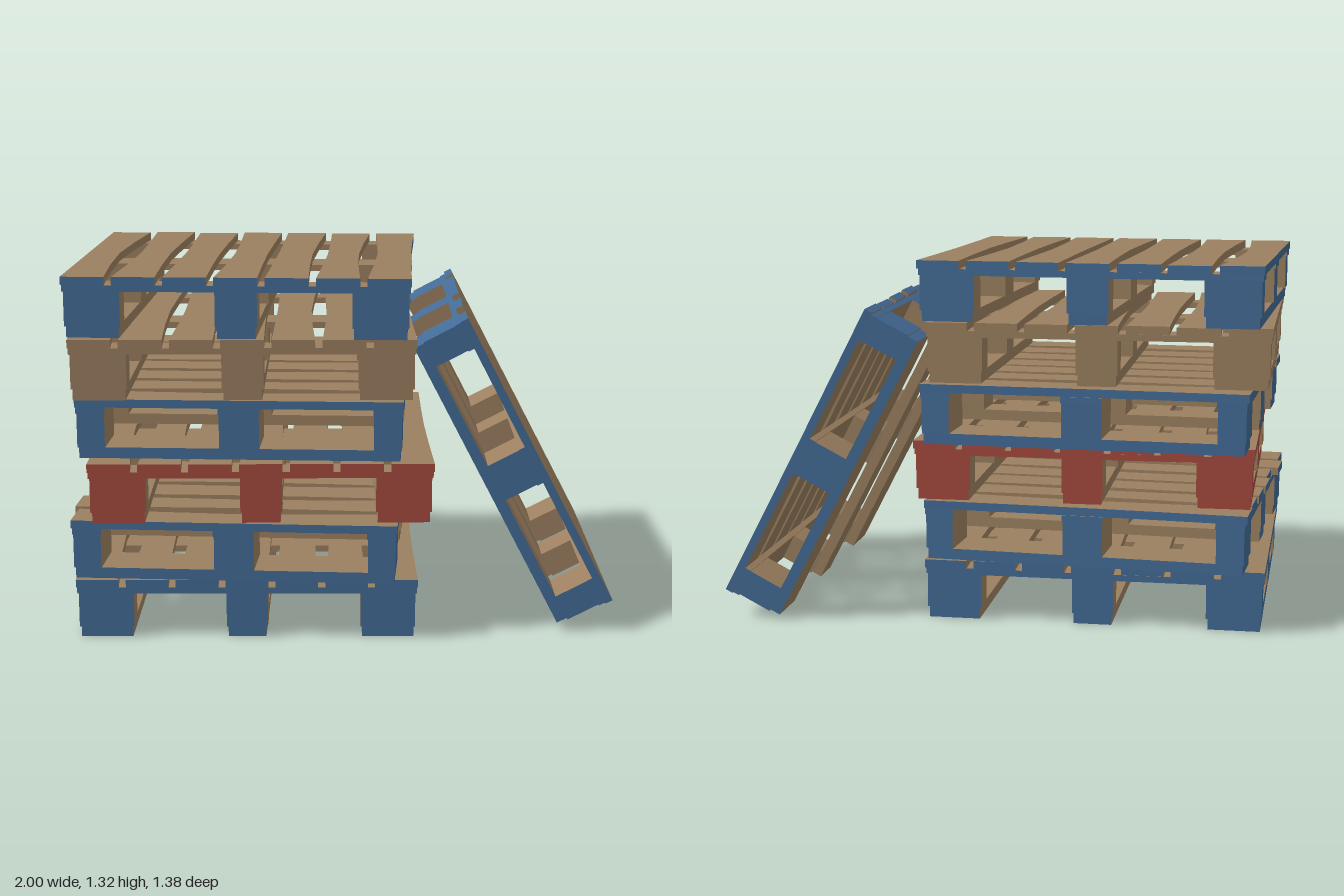
import * as THREE from 'three';

const wood = new THREE.MeshStandardMaterial({ color: 0x9c8060 });
wood.name = 'wood';
const bluePaint = new THREE.MeshStandardMaterial({ color: 0x436b96 });
bluePaint.name = 'bluePaint';
const redPaint = new THREE.MeshStandardMaterial({ color: 0xa64a3f });
redPaint.name = 'redPaint';

// Pallet half sizes: W across the deck boards, D along them
const W = 0.62, D = 0.59;

// Waist insets (left, right) and extra length at the far end of each deck board
const DECK = [
  [0, 0.035, 0], [0.02, 0.02, 0.02], [0.012, 0.012, -0.005], [0.02, 0.01, 0.01],
  [0.005, 0.02, 0.005], [0.012, 0.025, 0], [0.02, 0.008, 0.005],
];

// Box between two corners; only faces on the outside of the pallet are painted
function timber(name, x0, x1, y0, y1, z0, z1, paint, segments = 1) {
  const geo = new THREE.BoxGeometry(x1 - x0, y1 - y0, z1 - z0, 1, 1, segments);
  geo.translate((x0 + x1) / 2, (y0 + y1) / 2, (z0 + z1) / 2);
  const painted = [x1 > W - 0.03, x0 < -W + 0.03, false, false, z1 > D - 0.03, z0 < -D + 0.03];
  const mesh = new THREE.Mesh(geo, painted.map((p) => (p ? paint : wood)));
  mesh.name = name;
  return mesh;
}

// Deck board worn narrower towards its middle
function deckBoard(i, paint) {
  const [insetL, insetR, extra] = DECK[i];
  const cx = (i - 3) * 0.181, hw = 0.0775;
  const mesh = timber('deckBoard', cx - hw, cx + hw, 0.19, 0.22, -D - extra, D, paint, 4);
  const pos = mesh.geometry.attributes.position;
  for (let k = 0; k < pos.count; k++) {
    const t = Math.max(0, 1 - Math.abs(pos.getZ(k)) / D);
    const waist = Math.min(1, t * 1.3);
    const x = pos.getX(k);
    pos.setX(k, x < cx ? x + insetL * waist : x - insetR * waist);
  }
  mesh.geometry = mesh.geometry.toNonIndexed();
  mesh.geometry.computeVertexNormals();
  return mesh;
}

function pallet(name, paint) {
  const g = new THREE.Group();
  g.name = name;
  for (let i = 0; i < DECK.length; i++) g.add(deckBoard(i, paint));

  const rows = [[-0.584, -0.484], [-0.072, 0.072], [0.484, 0.584]];
  const columns = [[-0.612, -0.412], [-0.075, 0.075], [0.412, 0.612]];

  // Cross boards under the deck
  for (const [z0, z1] of rows) {
    g.add(timber('crossBoard', -0.617, 0.617, 0.167, 0.19, z0 - 0.003, z1 + 0.003, paint));
  }
  for (const [x0, x1] of columns) {
    // Spacer blocks
    for (const [z0, z1] of rows) g.add(timber('spacerBlock', x0, x1, 0.04, 0.167, z0, z1, paint));
    // Bottom runners
    g.add(timber('bottomRunner', x0 + 0.006, x1 - 0.006, 0, 0.04, -0.579, 0.579, paint));
  }
  return g;
}

export function createModel() {
  const model = new THREE.Group();
  model.name = 'palletStack';

  // Stack: paint, x, z, yaw, quarter turn
  const stack = [
    [bluePaint, -0.35, 0.035, 0, 0],
    [bluePaint, -0.355, 0.03, -0.065, 1],
    [redPaint, -0.3, 0.06, 0.01, 0],
    [bluePaint, -0.345, -0.02, -0.047, 1],
    [wood, -0.36, 0.01, 0.004, 0],
    [bluePaint, -0.355, 0, -0.042, 0],
  ];
  stack.forEach(([paint, x, z, yaw, turn], i) => {
    const p = pallet('stackedPallet' + (i + 1), paint);
    p.position.set(x, i * 0.22, z);
    p.rotation.y = yaw + turn * Math.PI / 2;
    model.add(p);
  });

  // Pallet leaning on the stack, deck facing outwards
  const lean = pallet('leaningPallet', bluePaint);
  const basis = new THREE.Matrix4().makeBasis(
    new THREE.Vector3(0, 0, -1),
    new THREE.Vector3(0.887, 0.462, 0).normalize(),
    new THREE.Vector3(0.462, -0.887, 0).normalize(),
  );
  lean.quaternion.setFromRotationMatrix(basis);
  lean.rotateY(-0.015);
  lean.position.set(0.525, 0.535, -0.065);
  model.add(lean);

  return model;
}
